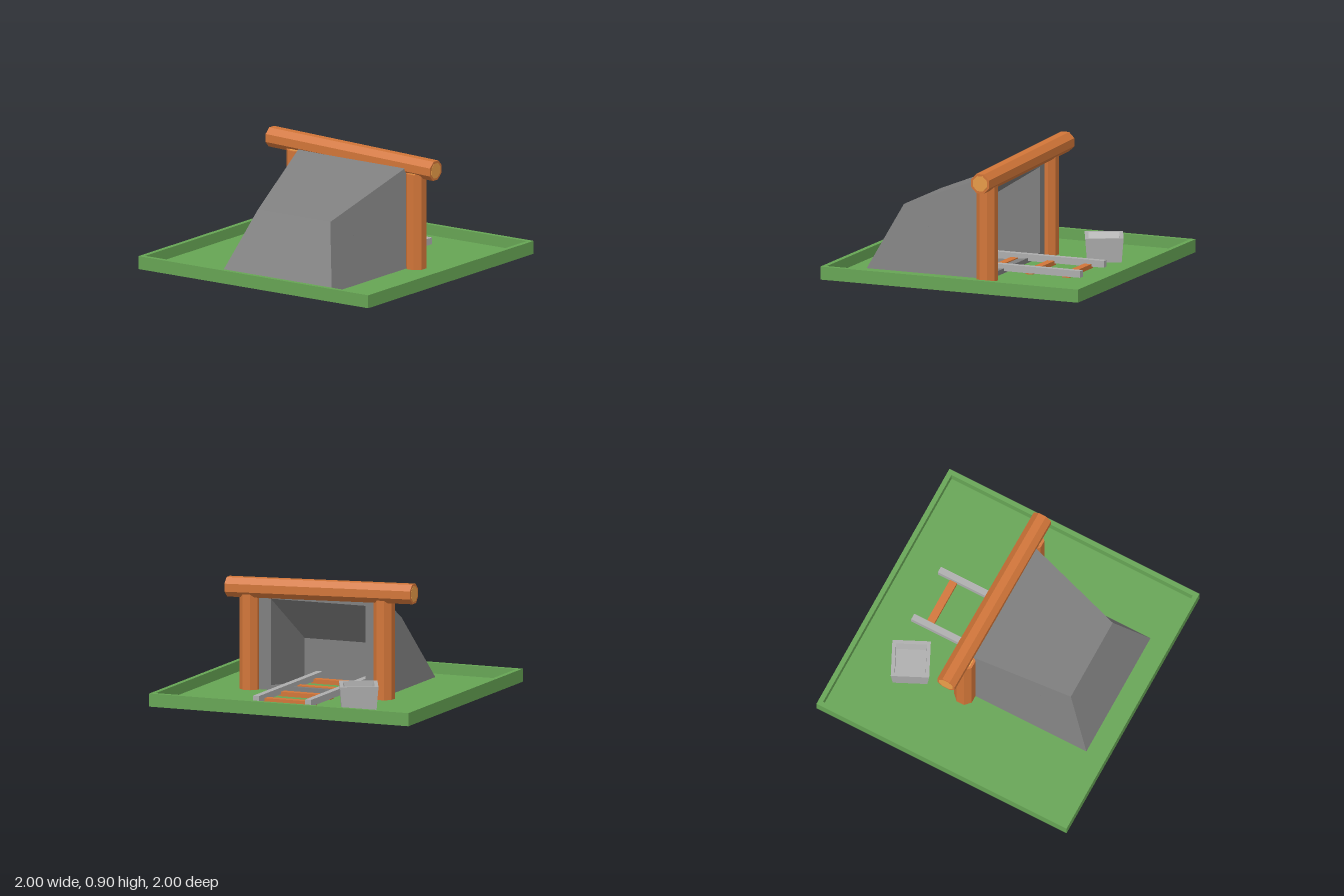
import * as THREE from 'three';

const mat = (color, flatShading = true) =>
  new THREE.MeshStandardMaterial({ color, flatShading, side: THREE.DoubleSide });

// Surface from a list of four-cornered faces, one normal per face, split from first to third corner
function quads(name, faces, material) {
  const pos = [], nor = [];
  for (const face of faces) {
    const [a, b, c, d] = face.map((p) => new THREE.Vector3(...p));
    const n = c.clone().sub(a).cross(d.clone().sub(b)).normalize();
    for (const p of [a, b, c, a, c, d]) {
      pos.push(...p);
      nor.push(...n);
    }
  }
  const geo = new THREE.BufferGeometry();
  geo.setAttribute('position', new THREE.Float32BufferAttribute(pos, 3));
  geo.setAttribute('normal', new THREE.Float32BufferAttribute(nor, 3));
  const mesh = new THREE.Mesh(geo, material);
  mesh.name = name;
  return mesh;
}

// Faces that join two four-cornered rings
const bridge = (r, s) => r.map((p, i) => [p, r[(i + 1) % 4], s[(i + 1) % 4], s[i]]);

// Box given by its minimum and maximum corners
function box(name, min, max, material) {
  const size = max.map((v, i) => v - min[i]);
  const mesh = new THREE.Mesh(new THREE.BoxGeometry(...size), material);
  mesh.position.set(...max.map((v, i) => (v + min[i]) / 2));
  mesh.name = name;
  return mesh;
}

// Eight-sided log between two points, with pale cut ends
function log(name, from, to, bark, cut) {
  const a = new THREE.Vector3(...from), b = new THREE.Vector3(...to);
  const dir = b.clone().sub(a), length = dir.length(), r = 0.0755;
  const group = new THREE.Group();
  group.name = name;
  const trunk = new THREE.Mesh(new THREE.CylinderGeometry(r, r, length, 8).rotateY(Math.PI / 8), bark);
  trunk.name = name + 'Trunk';
  const ends = new THREE.Mesh(new THREE.CylinderGeometry(0.058, 0.058, length + 0.004, 8).rotateY(Math.PI / 8), cut);
  ends.name = name + 'CutEnds';
  group.add(trunk, ends);
  group.position.copy(a).add(b).multiplyScalar(0.5);
  group.quaternion.setFromUnitVectors(new THREE.Vector3(0, 1, 0), dir.normalize());
  return group;
}

export function createModel() {
  const model = new THREE.Group();
  model.name = 'mineEntrance';
  const rock = mat(0x7e7e7e, false), metal = mat(0xadadad, false);
  const grass = mat(0x66a454), wood = mat(0xd17538), cut = mat(0xe89c48);

  // Grass tile with a thin raised rim
  const square = (s, P) => new P([[-s, -s], [s, -s], [s, s], [-s, s]].map(([x, y]) => new THREE.Vector2(x, y)));
  const frame = square(1, THREE.Shape);
  frame.holes.push(square(0.965, THREE.Path));
  const rim = new THREE.Mesh(
    new THREE.ExtrudeGeometry(frame, { depth: 0.094, bevelEnabled: false }).rotateX(-Math.PI / 2), grass);
  rim.position.y = 0.048;
  rim.name = 'grassRim';
  model.add(rim, box('grassFloor', [-0.97, 0.048, -0.97], [0.97, 0.065, 0.97], grass));

  // Rock mound: two sides, roof and sloping back
  const fx = 0.12;
  const F = [[fx, 0.05, 0.572], [fx, 0.05, -0.402], [fx, 0.81, -0.392], [fx, 0.81, 0.562]];
  const B = [[-0.845, 0.05, 0.572], [-0.845, 0.05, -0.402], [-0.625, 0.515, -0.23], [-0.625, 0.515, 0.4]];
  const shell = [
    [F[0], F[3], B[3], B[0]],
    [F[1], B[1], B[2], F[2]],
    [F[2], B[2], B[3], F[3]],
    [B[0], B[3], B[2], B[1]],
  ];
  // Front face around the opening
  const mouth = [[fx, 0.1, 0.45], [fx, 0.1, -0.28], [fx, 0.72, -0.28], [fx, 0.72, 0.45]];
  shell.push(...bridge(F, mouth));
  model.add(quads('rockMound', shell, rock));

  // Tunnel narrowing downwards to its end wall
  const end = [[-0.47, 0.031, 0.45], [-0.47, 0.031, -0.28], [-0.47, 0.345, -0.28], [-0.47, 0.345, 0.45]];
  model.add(quads('tunnel', [...bridge(mouth, end), end], rock));

  // Timber portal
  model.add(log('leftPost', [0.119, 0.003, 0.61], [0.119, 0.755, 0.61], wood, cut));
  model.add(log('rightPost', [0.119, 0.003, -0.425], [0.119, 0.78, -0.425], wood, cut));
  model.add(log('lintel', [0.135, 0.79, 0.77], [0.142, 0.836, -0.665], wood, cut));

  // Track running into the tunnel
  for (const z of [-0.12, 0.28]) model.add(box('rail', [-0.4, 0.08, z], [0.71, 0.128, z + 0.046], metal));
  for (const x of [-0.27, 0.015, 0.3, 0.585]) {
    model.add(box('sleeper', [x - 0.028, 0.066, -0.1], [x + 0.028, 0.098, 0.3], wood));
  }

  // Tapered open crate with a shallow tray
  const ring = (w, d, y) => [[w, y, d], [w, y, -d], [-w, y, -d], [-w, y, d]];
  const rings = [ring(0.122, 0.122, 0.066), ring(0.136, 0.136, 0.24), ring(0.11, 0.11, 0.24), ring(0.108, 0.09, 0.185)];
  const faces = [[...rings[0]].reverse(), rings[3]];
  for (let i = 0; i < 3; i++) faces.push(...bridge(rings[i], rings[i + 1]));
  const crate = quads('crate', faces, metal);
  crate.position.set(0.554, 0, -0.42);
  crate.rotation.y = THREE.MathUtils.degToRad(25.5);
  model.add(crate);

  return model;
}
